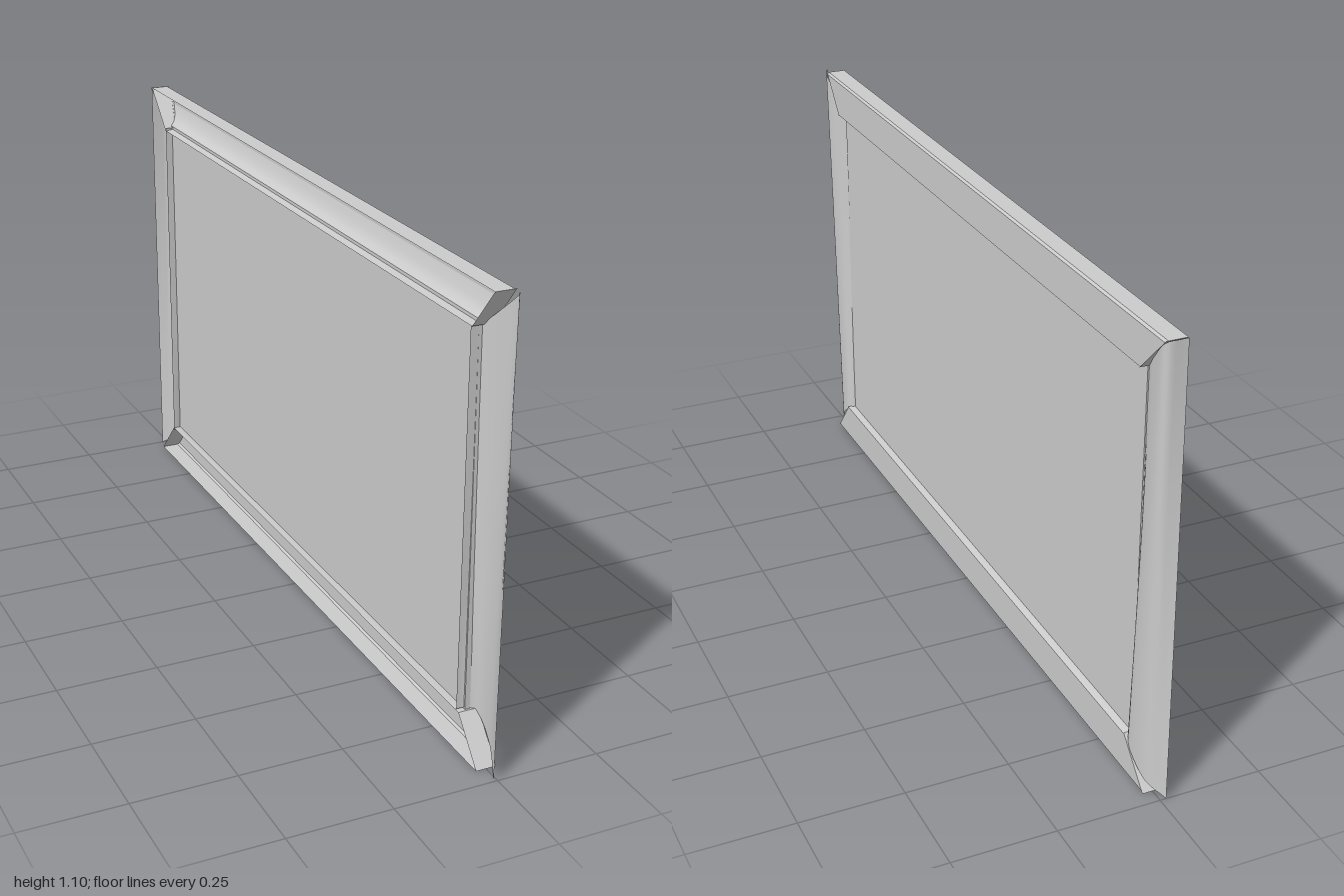
import * as THREE from 'three';
import { toCreasedNormals } from 'three/addons/utils/BufferGeometryUtils.js';

const grey = new THREE.MeshStandardMaterial({ color: 0xcccccc, side: THREE.DoubleSide });

// Sheet surface through a list of equally long cross-sections
function loft(sections) {
  const n = sections[0].length, index = [];
  for (let i = 0; i < sections.length - 1; i++) {
    for (let j = 0; j < n - 1; j++) {
      const a = i * n + j, b = a + n;
      index.push(a, b, a + 1, a + 1, b, b + 1);
    }
  }
  const geo = new THREE.BufferGeometry();
  geo.setAttribute('position', new THREE.Float32BufferAttribute(sections.flat(2), 3));
  geo.setIndex(index);
  return toCreasedNormals(geo, 0.7);
}

// Lip running in from the back, then a smooth curve through a few (z, x) points
function profile(points) {
  const curve = new THREE.CatmullRomCurve3(points.map(([z, x]) => new THREE.Vector3(x, 0, z)), false, 'centripetal');
  return [new THREE.Vector3(-0.025, 0, points[0][0]), ...curve.getPoints(16)];
}

export function createModel() {
  const group = new THREE.Group();
  const add = (geo, name) => {
    const mesh = new THREE.Mesh(geo, grey);
    mesh.name = name;
    group.add(mesh);
  };

  // Thin flat panel held between the rails
  const panel = new THREE.BoxGeometry(0.012, 0.9, 1.73);
  panel.translate(0, 0.55, -0.005);
  add(panel, 'panel');

  // Horizontal rails: channels open at the back, with a rounded inner lip and capped mitred ends.
  // Profile points are x and the height above the inner edge (0 to 1).
  const channel = [[-0.025, 1], [0.02, 1], [0.025, 0.95], [0.025, 0.02], [0.022, 0],
    [-0.025, 0], [-0.004, 0.02], [-0.004, 0.1], [0.008, 0.2], [0.017, 0.34], [0.025, 0.6]];
  function rail(inner, outer, zMin, zMax, name) {
    const end = (points, zIn, zOut) => points.map(([x, t]) =>
      [x, inner + (outer - inner) * t, zIn + (zOut - zIn) * t]);
    add(loft([end(channel, -0.87, zMin), end(channel, 0.865, zMax)]), name);
    for (const [zIn, zOut] of [[-0.87, zMin], [0.865, zMax]]) {
      const edge = (t) => end([[-0.025, t], [0.025, t]], zIn, zOut);
      add(loft([edge(0), edge(1)]), name + 'EndCap');
    }
  }
  rail(1.0, 1.1, -0.97, 0.95, 'topRail');
  rail(0.1, 0.0, -0.965, 0.95, 'bottomRail');

  // Side rails: curved strips whose crest drifts outwards towards the top
  function sideRail(side, lowPoints, highPoints, name) {
    const low = profile(lowPoints), high = profile(highPoints), sections = [];
    for (let i = 0; i <= 10; i++) {
      const t = i / 10;
      sections.push(low.map((p, j) => {
        const q = high[j];
        const yLow = 0.1 * (1 - (p.z - 0.86) / 0.14);
        const yHigh = 1 + 0.1 * Math.min(1, (q.z - 0.86) / 0.112);
        return [THREE.MathUtils.lerp(p.x, q.x, t), THREE.MathUtils.lerp(yLow, yHigh, t),
          side * THREE.MathUtils.lerp(p.z, q.z, t)];
      }));
    }
    add(loft(sections), name);
  }
  sideRail(1, [[0.855, 0.002], [0.868, 0.019], [0.93, 0.017], [1.0, -0.01]],
    [[0.86, 0.002], [0.91, 0.014], [0.965, 0.022], [0.975, 0.015]], 'frontSideRail');
  // The rear one wraps round to the back along its outer edge
  sideRail(-1, [[0.868, 0.002], [0.878, 0.019], [0.955, 0.018], [1.0, -0.015]],
    [[0.868, 0.002], [0.91, 0.015], [0.968, 0.021], [0.973, -0.025]], 'backSideRail');
  return group;
}
